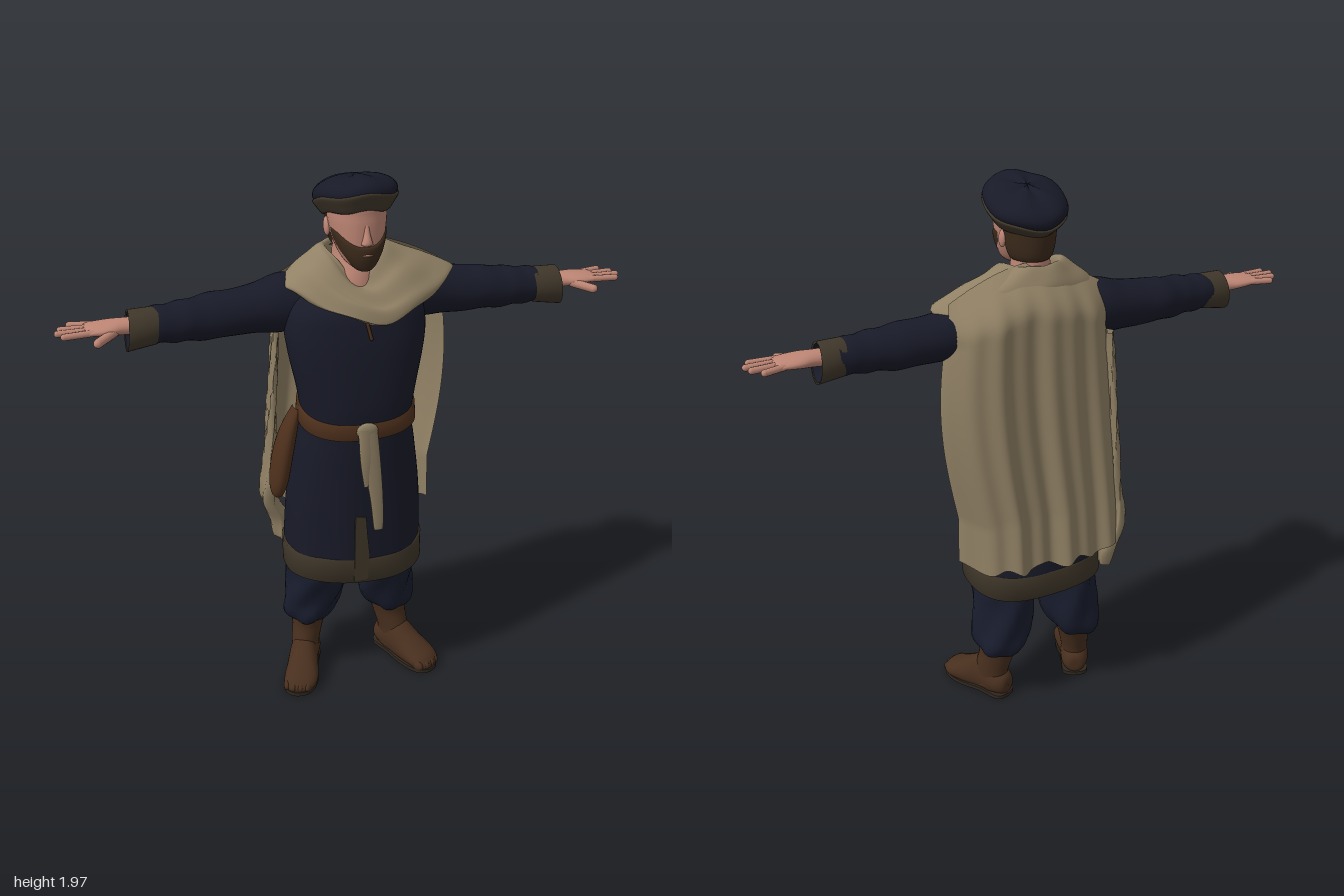
import * as THREE from 'three';

const D = THREE.DoubleSide;
const mat = (name, color, side = THREE.FrontSide) => {
  const m = new THREE.MeshStandardMaterial({ color, side });
  m.name = name;
  return m;
};

// Smooth grid surface; fn(u, v) returns [x, y, z], wrap joins the u ends
function grid(nu, nv, fn, wrap = false) {
  const pos = [], idx = [], w = wrap ? nu : nu + 1;
  for (let j = 0; j <= nv; j++) for (let i = 0; i < w; i++) pos.push(...fn(i / nu, j / nv));
  for (let j = 0; j < nv; j++) for (let i = 0; i < nu; i++) {
    const a = j * w + i, b = j * w + (i + 1) % w;
    idx.push(a, a + w, b + w, a, b + w, b);
  }
  const g = new THREE.BufferGeometry();
  g.setAttribute('position', new THREE.Float32BufferAttribute(pos, 3));
  g.setIndex(idx);
  g.computeVertexNormals();
  return g;
}

// Catmull-Rom interpolation of cross-section rows
function smooth(rows, k) {
  const out = [], at = i => rows[Math.max(0, Math.min(rows.length - 1, i))];
  for (let i = 0; i < rows.length - 1; i++) for (let s = 0; s < k; s++) {
    const t = s / k;
    out.push(at(i).map((p1, c) => {
      const p0 = at(i - 1)[c], p2 = at(i + 1)[c], p3 = at(i + 2)[c];
      return p1 + 0.5 * t * (p2 - p0 + t * (2 * p0 - 5 * p1 + 4 * p2 - p3 + t * (3 * (p1 - p2) + p3 - p0)));
    }));
  }
  out.push(at(rows.length - 1));
  return out;
}

// Loft of elliptical rings. Rows: axis y [y,x,z,rx,rz], x [x,y,z,ry,rz], z [z,x,y,rx,ry]
function loft(rows, { axis = 'y', n = 32, k = 4, e = 2, s = 1, a0 = 0, a1 = Math.PI * 2, warp } = {}) {
  const R = smooth(rows, k), nv = R.length - 1, pw = 2 / e;
  const sp = t => Math.sign(t) * Math.abs(t) ** pw;
  return grid(n, nv, (u, v) => {
    const a = a0 + u * (a1 - a0), r = R[Math.round(v * nv)];
    const c = sp(Math.cos(a)) * r[3], d = sp(Math.sin(a)) * r[4];
    let p;
    if (axis === 'x') p = [s * r[0], r[1] + c, r[2] - s * d];
    else if (axis === 'z') p = [r[1] + c, r[2] - d, r[0]];
    else p = [s * r[1] + c, r[0], r[2] + d];
    if (warp) warp(p, a, v);
    return p;
  }, a1 - a0 > 6.28);
}

export function createModel() {
  const root = new THREE.Group();
  root.name = 'robedMan';
  const navy = mat('navyCloth', 0x181a28), blue = mat('trouserBlue', 0x191d2e);
  const tan = mat('tanCloth', 0x918165, D), skin = mat('skin', 0xbe8675);
  const leather = mat('beltLeather', 0x4e301c), shoe = mat('shoeLeather', 0x482f1e);
  const trim = mat('brownTrim', 0x40372a), hair = mat('hair', 0x3c2a1b, D), soleMat = mat('sole', 0x30281f);
  const add = (name, geo, m, parent = root) => {
    const o = new THREE.Mesh(geo, m);
    o.name = name;
    parent.add(o);
    return o;
  };
  const ball = (name, m, p, r, parent) => {
    const o = add(name, new THREE.SphereGeometry(1, 20, 14), m, parent);
    o.position.set(...p);
    o.scale.set(...r);
    return o;
  };
  const rod = (name, m, a, b, r) => {
    const A = new THREE.Vector3(...a), B = new THREE.Vector3(...b), d = B.clone().sub(A);
    const o = add(name, new THREE.CapsuleGeometry(r, d.length(), 5, 10), m);
    o.position.copy(A).add(B).multiplyScalar(0.5);
    o.quaternion.setFromUnitVectors(new THREE.Vector3(0, 1, 0), d.normalize());
  };

  // Tunic with soft folds toward the hem
  add('tunic', loft([[.5, 0, .005, .25, .203], [.6, 0, .005, .248, .203], [.8, 0, .02, .238, .19],
    [1, 0, .045, .21, .17], [1.1, 0, .055, .195, .16], [1.2, 0, .06, .205, .158], [1.35, 0, .055, .235, .153],
    [1.45, 0, .045, .245, .148], [1.53, 0, .03, .225, .138], [1.59, 0, 0, .16, .085], [1.64, 0, 0, .08, .06],
    [1.65, 0, 0, .001, .001]], {
    n: 64, e: 2.4, warp: (p, a) => {
      const f = 1 + 0.02 * Math.max(0, 1.05 - p[1]) * Math.sin(8 * a);
      p[0] *= f; p[2] *= f;
    } }), navy);
  add('tunicHem', loft([[.54, 0, 0, .001, .001], [.52, 0, .005, .23, .18], [.49, 0, .005, .257, .208],
    [.585, 0, .005, .256, .211], [.587, 0, .005, .24, .195]], { n: 64, k: 1, e: 2.4, warp: (p, a) => {
    p[1] += 0.006 * Math.sin(3 * a + 1);
  } }), trim);
  const flap = new THREE.Shape([[-.05, .5], [0, .5], [.008, .6], [-.002, .7], [-.006, .76], [-.045, .77]]
    .map(q => new THREE.Vector2(...q)));
  add('frontSlitTrim', new THREE.ExtrudeGeometry(flap, { depth: .009, bevelEnabled: false }), trim).position.z = .207;
  rod('collarLace', leather, [0, 1.49, .197], [.012, 1.44, .203], .006);

  // Belt, sash and pouch
  add('belt', loft([[1.07, 0, .055, .19, .155], [1.07, 0, .055, .21, .17], [1.127, 0, .055, .206, .168],
    [1.127, 0, .055, .185, .15]], { n: 64, k: 1, e: 2.4, warp: (p, a) => { p[1] += .03 - .025 * Math.sin(a); } }), leather);
  ball('sashKnot', tan, [-.008, 1.112, .226], [.038, .03, .014]);
  add('sashLong', loft([[.72, .032, .236, .012, .003], [.73, .032, .237, .018, .005], [.85, .024, .238, .024, .007],
    [1, .006, .235, .032, .009], [1.12, -.008, .228, .036, .011]], { n: 16 }), tan);
  add('sashShort', loft([[.9, -.012, .238, .01, .003], [1, -.014, .238, .022, .007], [1.12, -.014, .23, .026, .01]],
    { n: 16 }), tan);
  add('pouch', loft([[.785, -.28, .015, .001, .001], [.795, -.28, .015, .02, .03], [.85, -.274, .015, .033, .055],
    [.95, -.258, .015, .036, .06], [1.05, -.235, .02, .03, .048], [1.14, -.205, .025, .013, .03]], { n: 24 }), leather);

  // Sleeves, hands, trousers and shoes on both sides
  for (const s of [1, -1]) {
    const side = s > 0 ? 'left' : 'right';
    add(side + 'Sleeve', loft([[.14, 1.52, -.01, .08, .08], [.24, 1.515, -.022, .1, .09], [.33, 1.505, -.024, .086, .085],
      [.42, 1.495, -.02, .08, .078], [.5, 1.493, -.018, .077, .076], [.58, 1.49, -.01, .07, .068],
      [.7, 1.487, -.008, .061, .058]], { axis: 'x', s, k: 8, warp: (p, a) => {
      const x = Math.abs(p[0]);
      p[1] += .003 * Math.sin(52 * x + 2 * Math.sin(a) + 4 * Math.sin(9 * x));
    } }), navy);
    const slant = p => { p[0] += s * .1 * (1.48 - p[1]); };
    add(side + 'Cuff', loft([[.665, 1.487, -.006, .055, .05], [.668, 1.487, -.006, .064, .061], [.765, 1.478, -.004, .071, .062],
      [.762, 1.478, -.004, .064, .055]], { axis: 'x', s, k: 1, warp: slant }), trim);
    add(side + 'CuffLining', loft([[.762, 1.478, -.004, .064, .055], [.7, 1.487, -.004, .05, .045], [.698, 1.487, 0, .001, .001]],
      { axis: 'x', s, k: 1, warp: slant }), navy);
    add(side + 'Palm', loft([[.69, 1.492, -.004, .03, .036], [.77, 1.497, -.002, .027, .04], [.82, 1.499, 0, .023, .053],
      [.87, 1.5, 0, .017, .053], [.9, 1.499, -.002, .011, .046], [.908, 1.499, -.002, .001, .001]],
      { axis: 'x', s, n: 24 }), skin);
    [[.037, .045, .97], [.012, .012, .988], [-.013, -.02, .977], [-.037, -.055, .945]].forEach(([z0, z1, x]) =>
      rod(side + 'Finger', skin, [s * .87, 1.5, z0], [s * x, 1.499, z1], .0115));
    rod(side + 'Thumb', skin, [s * .81, 1.492, .035], [s * .868, 1.482, .086], .0155);

    add(side + 'Trouser', loft([[.2, .165, -.045, .04, .05], [.215, .165, -.048, .072, .087], [.255, .157, -.046, .096, .112],
      [.32, .142, -.036, .107, .124], [.42, .13, -.015, .11, .142], [.5, .125, -.005, .115, .15], [.62, .115, 0, .11, .14]],
      { s, k: 6, warp: (p, a) => {
        const f = .007 * Math.sin(5 * a + 22 * p[1]);
        p[0] += f * Math.cos(a); p[2] += f * Math.sin(a);
      } }), blue);

    const foot = new THREE.Group();
    foot.name = side + 'Shoe';
    foot.position.set(s * .176, 0, -.025);
    foot.rotation.y = s * .42;
    root.add(foot);
    add(side + 'ShoeShaft', loft([[.03, 0, .01, .052, .068], [.1, 0, .006, .052, .069], [.18, -s * .006, -.015, .059, .071],
      [.235, -s * .01, -.024, .064, .075], [.236, -s * .01, -.024, .001, .001]], { n: 24 }), shoe, foot);
    add(side + 'ShoeFoot', loft([[-.077, 0, .05, .001, .001], [-.073, 0, .05, .03, .035], [-.04, 0, .055, .051, .055],
      [.04, 0, .06, .054, .09], [.1, .005, .045, .06, .068], [.16, .008, .035, .064, .042], [.2, .005, .028, .054, .03],
      [.222, 0, .022, .025, .012], [.224, 0, .02, .001, .001]],
      { axis: 'z', n: 28, warp: p => { p[1] = Math.max(p[1], .012); } }), shoe, foot);
    for (let i = 0; i < 4; i++)
      ball('toeBump', shoe, [-.038 + i * .026, .026, .203 - .004 * (i - 1.5) ** 2], [.015, .02, .026], foot);
    const outline = new THREE.Shape();
    outline.moveTo(0, -.08);
    outline.splineThru([[.045, -.06], [.052, .03], [.068, .13], [.05, .205], [0, .23], [-.045, .205], [-.06, .13],
      [-.052, .03], [-.045, -.06], [0, -.08]].map(q => new THREE.Vector2(...q)));
    const sole = add(side + 'Sole', new THREE.ExtrudeGeometry(outline, { depth: .015, bevelEnabled: false, curveSegments: 30 }),
      soleMat, foot);
    sole.rotation.x = Math.PI / 2;
    sole.position.y = .015;
  }

  // Head and face
  add('neck', loft([[1.55, 0, .035, .09, .085], [1.62, 0, .028, .076, .08], [1.7, 0, .008, .066, .072],
    [1.78, 0, .025, .066, .075]]), skin);
  add('head', loft([[1.668, 0, .13, .001, .001], [1.675, 0, .125, .035, .045], [1.7, 0, .105, .062, .077],
    [1.75, 0, .08, .082, .103], [1.8, 0, .068, .092, .116], [1.85, 0, .06, .097, .122], [1.9, 0, .055, .09, .115],
    [1.94, 0, .055, .001, .001]], { e: 2.15 }), skin);
  add('nose', loft([[1.755, 0, .178, .004, .004], [1.762, 0, .185, .019, .017], [1.775, 0, .186, .016, .018],
    [1.8, 0, .182, .01, .012], [1.825, 0, .176, .008, .008]], { n: 16 }), skin);
  add('beard', loft([[1.664, 0, .13, .001, .001], [1.668, 0, .125, .04, .052], [1.7, 0, .105, .07, .087],
    [1.73, 0, .09, .086, .105], [1.75, 0, .08, .091, .112], [1.752, 0, .08, .08, .1]],
    { a0: -.1, a1: Math.PI + .1, warp: (p, a, v) => { p[1] += v * .058 * Math.abs(Math.cos(a)) ** 2.6; } }), hair);
  ball('lips', skin, [0, 1.727, .191], [.018, .004, .008]);
  add('backHair', loft([[1.715, 0, .03, .05, .06], [1.72, 0, .022, .072, .09], [1.77, 0, .028, .09, .108],
    [1.87, 0, .035, .099, .118]], { a0: Math.PI + .1, a1: Math.PI * 2 - .1 }), hair);
  for (const s of [1, -1]) ball('ear', skin, [s * .092, 1.785, .03], [.011, .032, .02]).rotation.x = -.2;

  // Tilted beret with its band
  const beret = new THREE.Group();
  beret.name = 'beret';
  beret.position.set(0, 1.893, .047);
  beret.rotation.x = -.25;
  root.add(beret);
  const puff = (p, a) => { p[1] += .004 * Math.sin(5 * a); };
  add('beretCrown', loft([[-.045, 0, 0, .1, .12], [-.025, 0, 0, .125, .152], [.005, 0, 0, .138, .168], [.035, 0, 0, .122, .15],
    [.056, 0, 0, .075, .09], [.062, 0, 0, .001, .001]], { n: 40, warp: puff }), navy, beret);
  add('beretBand', loft([[-.04, 0, 0, .09, .11], [-.058, 0, 0, .106, .13], [-.035, 0, 0, .126, .153],
    [-.012, 0, .002, .14, .168], [-.006, 0, 0, .13, .158]], { n: 40, warp: (p, a, v) => {
    puff(p, a); p[1] += v * .008 * Math.sin(a);
  } }), trim, beret);

  // Asymmetric cowl: V-shaped dip in front, tucked under the cloak behind
  add('cowl', loft([[1.575, .057, .002, .293, .185], [1.59, .057, .002, .308, .2], [1.635, .037, 0, .245, .182],
    [1.675, .015, 0, .17, .142], [1.708, 0, 0, .112, .102], [1.7, 0, 0, .088, .085], [1.65, 0, 0, .08, .075]],
    { n: 72, k: 5, warp: (p, a, v) => {
      const f = Math.max(0, Math.sin(a));
      p[0] *= 1 - .28 * f * (1 - v);
      p[1] -= (.09 - .03 * v) * f ** 2 + .055 * v * f ** 8;
      p[1] += .007 * Math.sin(7 * a + 5 * v) * (1 - v) + .006 * f * Math.sin(v * 28 + 3 * Math.cos(a));
      if (p[2] < 0) p[2] *= .55 + .4 * v;
    } }), tan);

  // Cloak draped over the shoulders and hanging down the back in folds
  const mix = THREE.MathUtils.lerp;
  add('cloak', grid(96, 56, (u, v) => {
    const t = u * 2 - 1, drop = Math.min(1, v * 7), bow = Math.sin(Math.PI * Math.min(1, v * 1.1 + .1));
    const x = mix(mix(-.235, -.29, v), mix(.305, .32, v) + .06 * bow, u);
    const top = 1.715 - .1 * Math.abs(t) ** 1.6, low = .63 + .012 * Math.sin(t * 14);
    const fold = (.015 * Math.sin(t * 9 + .6) + .009 * Math.sin(t * 21 + 1 + v)) * (.3 + .7 * v) * drop;
    const z = mix(-.045, -.168, Math.sin(drop * Math.PI / 2)) - .035 * v - .014 * (1 - t) * v + fold
      + (.1 + .025 * (1 + t) * v) * t ** 6 * drop;
    return [x, mix(top, low, v), z];
  }), tan);
  add('cloakGather', loft([[.525, -.238, -.13, .015, .03], [.535, -.238, -.13, .026, .04], [.61, -.242, -.135, .036, .05],
    [.69, -.28, -.125, .03, .05], [.76, -.285, -.115, .028, .05], [.83, -.28, -.115, .024, .04], [1.1, -.262, -.12, .014, .035],
    [1.45, -.24, -.11, .012, .03]], { n: 20, warp: (p, a) => { p[0] += .006 * Math.sin(4 * a + 20 * p[1]); } }), tan);

  return root;
}
